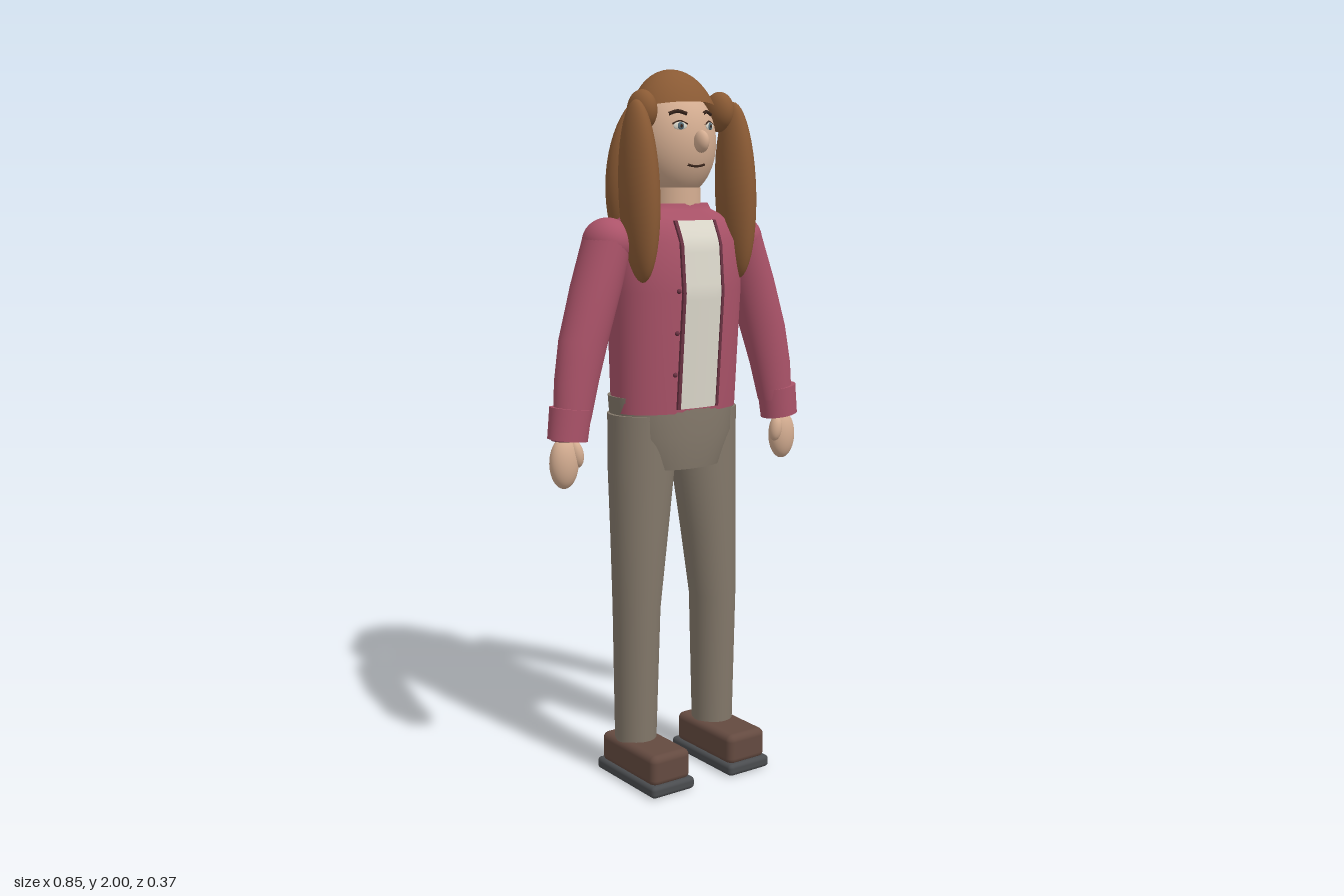
import * as THREE from 'three';
import { RoundedBoxGeometry } from 'three/addons/geometries/RoundedBoxGeometry.js';

const mat = (name, color) => new THREE.MeshStandardMaterial({ name, color, side: THREE.DoubleSide });
const M = {
  hair: mat('brown hair', 0x8a5a34),
  skin: mat('skin', 0xd4ad91),
  jacket: mat('rose jacket', 0xab5369),
  trim: mat('dark rose trim', 0x6b3343),
  shirt: mat('off-white', 0xdedacd),
  trousers: mat('taupe trousers', 0x83786a),
  shoe: mat('brown shoe', 0x644a40),
  sole: mat('dark grey sole', 0x4a4c4f),
  iris: mat('grey blue iris', 0x58707c),
  dark: mat('dark brown', 0x3a261c),
};

// Closed body through horizontal rings [x, y, z, radiusX, radiusZ], listed bottom to top
function loft(rings, power = 2, n = 40) {
  const first = rings[0], last = rings[rings.length - 1];
  const point = r => [r[0], r[1], r[2], 0, 0];
  const all = [point(first), first, ...rings, last, point(last)];
  const pos = [], idx = [];
  const bend = v => Math.sign(v) * Math.abs(v) ** (2 / power);
  all.forEach(([x, y, z, rx, rz], i) => {
    for (let j = 0; j < n; j++) {
      const a = (j / n) * Math.PI * 2;
      pos.push(x + rx * bend(Math.cos(a)), y, z + rz * bend(Math.sin(a)));
      if (i < all.length - 1) {
        const p = i * n + j, q = i * n + (j + 1) % n;
        idx.push(p, p + n, q, q, p + n, q + n);
      }
    }
  });
  const g = new THREE.BufferGeometry();
  g.setAttribute('position', new THREE.Float32BufferAttribute(pos, 3));
  g.setIndex(idx);
  g.computeVertexNormals();
  return g;
}

function add(parent, name, geometry, material, x = 0, y = 0, z = 0) {
  const m = new THREE.Mesh(geometry, material);
  m.name = name;
  m.position.set(x, y, z);
  parent.add(m);
  return m;
}

function ball(parent, name, material, p, r, detail = 32) {
  const g = new THREE.SphereGeometry(1, detail, Math.round(detail * 0.7)).scale(...r);
  return add(parent, name, g, material, ...p);
}

// Torso rings, and the depth of the torso's front at a given point
const TORSO = [
  [0, 1.065, -0.008, 0.192, 0.115], [0, 1.4, -0.003, 0.2, 0.138], [0, 1.535, -0.003, 0.2, 0.125],
  [0, 1.595, -0.008, 0.17, 0.1], [0, 1.62, -0.01, 0.11, 0.085], [0, 1.637, -0.01, 0.1, 0.08],
];
const POWER = 2.3;
function torsoFront(x, y) {
  let i = 0;
  while (i < TORSO.length - 2 && y > TORSO[i + 1][1]) i++;
  const a = TORSO[i], b = TORSO[i + 1], t = (y - a[1]) / (b[1] - a[1]);
  const mix = k => a[k] + (b[k] - a[k]) * t;
  return mix(2) + mix(4) * (1 - Math.abs(x / mix(3)) ** POWER) ** (1 / POWER);
}
// Thin strip wrapped on the front of the torso
function chestStrip(parent, name, material, cx, width, thick) {
  const g = new THREE.BoxGeometry(width, 0.515, thick, 6, 24, 1).translate(cx, 1.335, 0);
  const p = g.attributes.position;
  for (let i = 0; i < p.count; i++) p.setZ(i, p.getZ(i) + torsoFront(p.getX(i), p.getY(i)));
  g.computeVertexNormals();
  add(parent, name, g, material);
}

// Head ellipsoid, and a point on the face
const HEAD = { y: 1.8, r: [0.117, 0.15, 0.107] };
function onFace(x, y, lift = 0) {
  const [rx, ry, rz] = HEAD.r;
  return new THREE.Vector3(x, y, lift + rz * Math.sqrt(1 - (x / rx) ** 2 - ((y - HEAD.y) / ry) ** 2));
}
function faceLine(parent, name, points, radius) {
  const curve = new THREE.CatmullRomCurve3(points.map(([x, y]) => onFace(x, y, 0.002)));
  add(parent, name, new THREE.TubeGeometry(curve, 12, radius, 6), M.dark);
}

function buildHead(root) {
  const head = new THREE.Group();
  head.name = 'head';
  root.add(head);
  ball(head, 'face', M.skin, [0, HEAD.y, 0], HEAD.r, 40);
  add(head, 'neck', new THREE.CylinderGeometry(0.07, 0.073, 0.09, 32), M.skin, 0, 1.635, 0);
  ball(head, 'nose', M.skin, [0, 1.803, 0.122], [0.018, 0.03, 0.026], 20);
  faceLine(head, 'mouth', [[-0.028, 1.742], [-0.01, 1.738], [0.01, 1.738], [0.028, 1.742]], 0.0035);

  // Hair cap, tilted so that it sits lower at the back
  const cap = add(head, 'hairCap',
    new THREE.SphereGeometry(1, 40, 14, 0, Math.PI * 2, 0, Math.PI * 0.385).scale(0.132, 0.17, 0.11),
    M.hair, 0, 1.83, 0);
  cap.rotation.x = -0.2;
  ball(head, 'backHair', M.hair, [0, 1.69, -0.11], [0.15, 0.255, 0.074], 40).rotation.x = 0.05;

  for (const s of [-1, 1]) {
    ball(head, 'ear', M.skin, [s * 0.12, 1.8, -0.015], [0.025, 0.036, 0.02], 20);
    ball(head, 'pigtailKnot', M.hair, [s * 0.13, 1.885, 0.03], [0.036, 0.055, 0.05]);
    ball(head, 'pigtail', M.hair, [s * 0.163, 1.67, 0.063], [0.046, 0.243, 0.073]).rotation.x = -0.06;
    const turn = s * 0.4;
    ball(head, 'eyeWhite', M.shirt, onFace(s * 0.049, 1.844).toArray(), [0.019, 0.011, 0.004], 20).rotation.y = turn;
    ball(head, 'iris', M.iris, onFace(s * 0.049, 1.844, 0.003).toArray(), [0.009, 0.01, 0.004], 16).rotation.y = turn;
    ball(head, 'pupil', M.dark, onFace(s * 0.049, 1.844, 0.006).toArray(), [0.004, 0.005, 0.003], 12).rotation.y = turn;
    faceLine(head, 'upperLid', [[s * 0.03, 1.849], [s * 0.049, 1.857], [s * 0.068, 1.849]], 0.0025);
    faceLine(head, 'eyebrow', [[s * 0.026, 1.876], [s * 0.048, 1.883], [s * 0.07, 1.876]], 0.005);
  }
}

function buildArm(root, s) {
  const arm = new THREE.Group();
  arm.name = s > 0 ? 'leftArm' : 'rightArm';
  root.add(arm);
  const side = rings => rings.map(([x, ...rest]) => [s * x, ...rest]);
  ball(arm, 'shoulder', M.jacket, [s * 0.222, 1.535, -0.003], [0.067, 0.067, 0.076]);
  add(arm, 'sleeve', loft(side([
    [0.353, 1.06, 0.016, 0.053, 0.045], [0.335, 1.17, 0.013, 0.064, 0.052],
    [0.308, 1.28, 0.008, 0.071, 0.06], [0.263, 1.42, 0.002, 0.071, 0.071],
    [0.222, 1.545, -0.003, 0.066, 0.075],
  ])), M.jacket);
  const cuff = add(arm, 'cuff', loft([[0, -0.043, 0, 0.057, 0.049], [0, 0.043, 0, 0.06, 0.051]]),
    M.jacket, s * 0.363, 1.055, 0.017);
  cuff.rotation.z = s * 0.13;
  ball(arm, 'cuffOpening', M.trim, [s * 0.368, 1.014, 0.017], [0.047, 0.004, 0.039], 24);
  ball(arm, 'hand', M.skin, [s * 0.38, 0.95, 0.016], [0.042, 0.071, 0.033]);
  ball(arm, 'thumb', M.skin, [s * 0.347, 0.972, 0.028], [0.019, 0.037, 0.02], 20).rotation.z = s * -0.15;
}

function buildLeg(root, s) {
  const leg = new THREE.Group();
  leg.name = s > 0 ? 'leftLeg' : 'rightLeg';
  root.add(leg);
  add(leg, 'trouserLeg', loft([
    [s * 0.138, 0.1, -0.003, 0.058, 0.063], [s * 0.135, 0.5, 0, 0.066, 0.073],
    [s * 0.122, 0.7, -0.005, 0.08, 0.083], [s * 0.109, 0.9, -0.012, 0.095, 0.093],
    [s * 0.109, 1.06, -0.012, 0.095, 0.093],
  ]), M.trousers);
  add(leg, 'shoe', new RoundedBoxGeometry(0.132, 0.09, 0.265, 3, 0.02), M.shoe, s * 0.135, 0.072, 0.043);
  add(leg, 'sole', new RoundedBoxGeometry(0.146, 0.035, 0.29, 2, 0.012), M.sole, s * 0.135, 0.0175, 0.041);
}

export function createModel() {
  const root = new THREE.Group();
  root.name = 'standingFigure';

  // Jacket with a narrow shirt front, edges and buttons
  add(root, 'jacketBody', loft(TORSO, POWER, 56), M.jacket);
  chestStrip(root, 'shirtFront', M.shirt, 0, 0.122, 0.008);
  for (const s of [-1, 1]) chestStrip(root, 'jacketEdge', M.trim, s * 0.065, 0.009, 0.015);
  for (const y of [1.405, 1.29, 1.175])
    ball(root, 'button', M.trim, [-0.078, y, torsoFront(-0.078, y)], [0.007, 0.007, 0.007], 12);

  // Trouser seat
  add(root, 'trouserSeat', loft([
    [0, 0.905, -0.02, 0.15, 0.12], [0, 1.0, -0.014, 0.187, 0.126], [0, 1.11, -0.016, 0.198, 0.122],
  ], 2.2), M.trousers);

  buildHead(root);
  for (const s of [-1, 1]) {
    buildArm(root, s);
    buildLeg(root, s);
  }
  return root;
}
